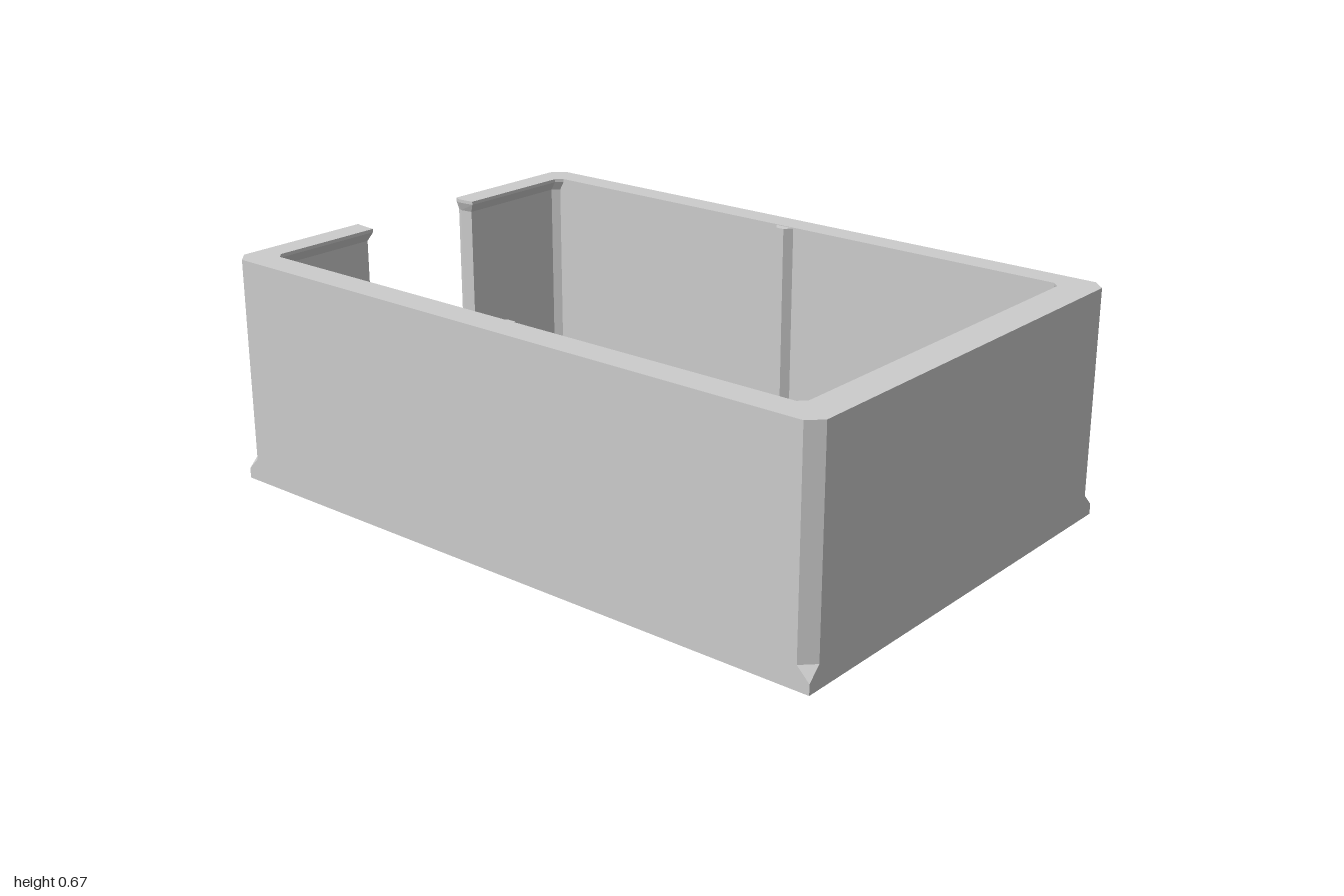
import * as THREE from 'three';

const W = 0.667, D = 1, H = 0.667, FLOOR = 0.067, CUT = 0.037;
const material = new THREE.MeshStandardMaterial({ color: 0xcccccc, flatShading: true });

// Skins a stack of equal-length rings; each ring is { y, pts: [[x, z], ...] },
// counter-clockwise seen from above, and closes it with flat caps.
function loft(name, rings) {
  const pos = [];
  const put = (ring, i) => pos.push(ring.pts[i][0], ring.y, ring.pts[i][1]);
  for (let r = 0; r < rings.length - 1; r++) {
    const a = rings[r], b = rings[r + 1], n = a.pts.length;
    for (let i = 0; i < n; i++) {
      const j = (i + 1) % n;
      put(a, i); put(a, j); put(b, j);
      put(a, i); put(b, j); put(b, i);
    }
  }
  const cap = (ring, up) => {
    const flat = ring.pts.map(([x, z]) => new THREE.Vector2(x, -z));
    for (const [i, j, k] of THREE.ShapeUtils.triangulateShape(flat, [])) {
      for (const v of up ? [i, j, k] : [i, k, j]) put(ring, v);
    }
  };
  cap(rings[0], false);
  cap(rings[rings.length - 1], true);
  const geo = new THREE.BufferGeometry();
  geo.setAttribute('position', new THREE.Float32BufferAttribute(pos, 3));
  geo.computeVertexNormals();
  const mesh = new THREE.Mesh(geo, material);
  mesh.name = name;
  return mesh;
}

// Outer rectangle whose corners are cut by c
const outline = (c) => [
  [W - c, D], [W, D - c], [W, -D + c], [W - c, -D],
  [-W + c, -D], [-W, -D + c], [-W, D - c], [-W + c, D],
];

// C-shaped wall plan, open at the back; u = 1 is the hollow below the lip, u = 0 the rim
function wallPlan(u) {
  const x0 = -0.58 - 0.015 * u, x1 = 0.59;
  const z0 = -0.925 - 0.015 * u, z1 = 0.90 + 0.02 * u;
  const c = 0.02, g = 0.01 * u;
  const o = outline(CUT);
  return [
    ...o.slice(0, 4),
    // notch edge, left
    [0.2 + g, -D], [0.19 + g, -0.98], [0.195 + g, z0],
    // inside of the box
    [x1 - c, z0], [x1, z0 + c], [x1, z1 - c], [x1 - c, z1],
    [x0 + c, z1], [x0, z1 - c], [x0, z0 + c], [x0 + c, z0],
    // notch edge, right
    [-0.215 - g, z0], [-0.21 - g, -0.98], [-0.205 - g, -D],
    ...o.slice(4),
  ];
}

// Upright rib with a narrow face, growing from a side wall towards the middle
function rib(name, wallX, tipX, top) {
  const z = -0.015;
  let pts = [[wallX, z + 0.032], [tipX, z + 0.013], [tipX, z - 0.013], [wallX, z - 0.032]];
  if (tipX < wallX) pts = pts.reverse();
  return loft(name, [{ y: FLOOR, pts }, { y: top, pts }]);
}

export function createModel() {
  const group = new THREE.Group();
  group.name = 'openBox';

  // Floor slab: sharp corners at the foot, slanting into the cut corners
  group.add(loft('floor', [
    { y: 0, pts: outline(0) },
    { y: 0.03, pts: outline(0) },
    { y: FLOOR, pts: outline(CUT) },
  ]));

  // Walls with a small sloped lip under the rim
  group.add(loft('walls', [
    { y: FLOOR, pts: wallPlan(1) },
    { y: H - 0.037, pts: wallPlan(1) },
    { y: H - 0.01, pts: wallPlan(0) },
    { y: H, pts: wallPlan(0) },
  ]));

  // Ribs halfway along the side walls
  group.add(rib('leftRib', 0.592, 0.565, H - 0.002));
  group.add(rib('rightRib', -0.597, -0.57, H - 0.002));
  return group;
}
